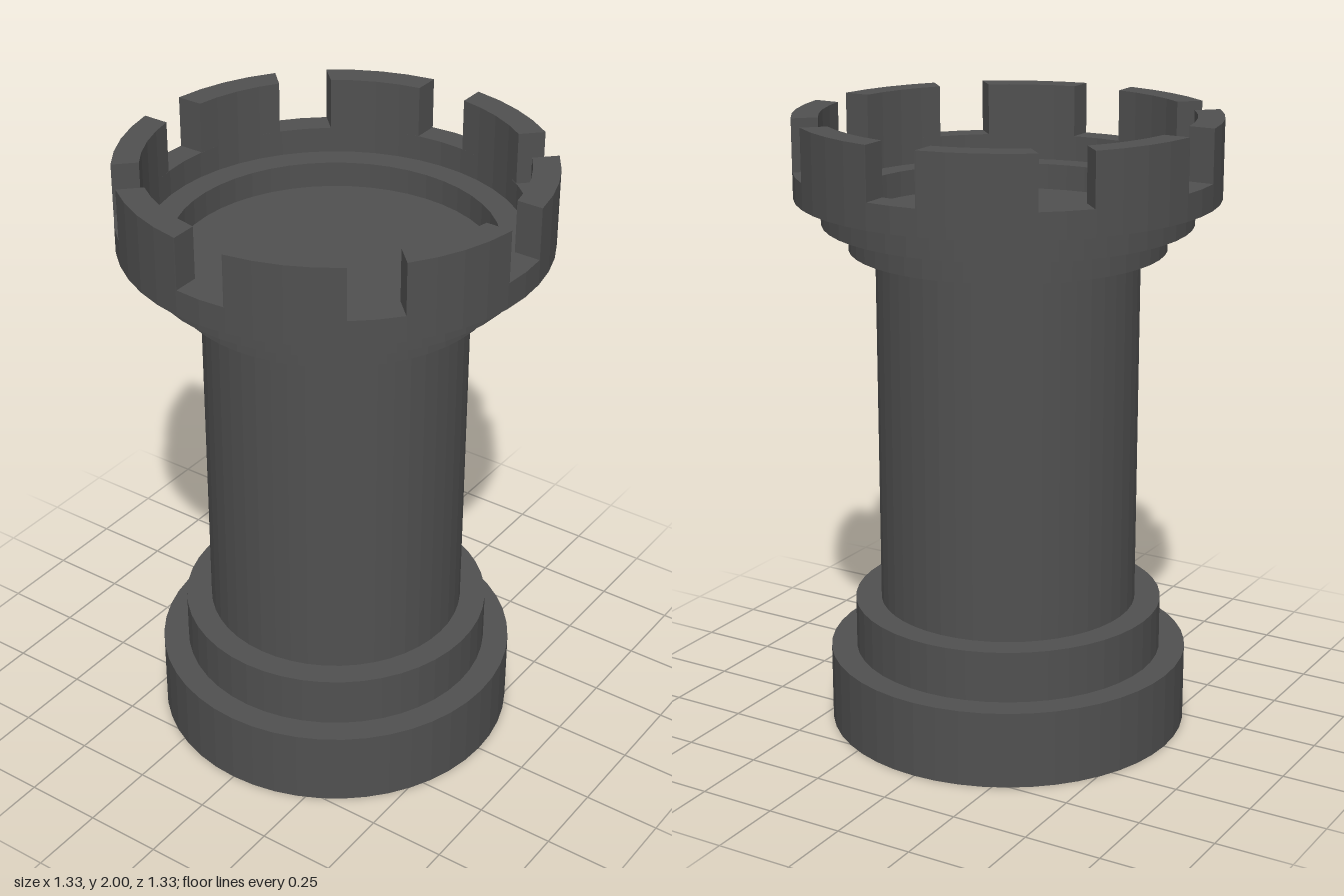
import * as THREE from 'three';

const U = 1 / 12; // all sizes are multiples of this step
const SEGMENTS = 48;
const NOTCHES = 8;

// Angles of one side of a merlon: cut by parallel-sided notches, otherwise on the tower's facets
function arcPoints(radius) {
  const step = (Math.PI * 2) / SEGMENTS;
  const span = (Math.PI * 2) / NOTCHES;
  const edge = Math.asin(U / radius);
  const angles = [edge];
  for (let a = step; a < span - edge; a += step) if (a > edge) angles.push(a);
  angles.push(span - edge);
  return angles.map((a) => new THREE.Vector2(Math.cos(a) * radius, Math.sin(a) * radius));
}

export function createModel() {
  const model = new THREE.Group();
  model.name = 'rook';
  const material = new THREE.MeshStandardMaterial({ color: 0x505050, flatShading: true });

  // Stepped tower: recessed underside, base, shaft, flared collar and sunken floor
  const profile = [
    [0, 1], [4, 1], [4, 0], [7, 0], [7, 3], [6, 3], [6, 5], [5, 5],
    [5, 19], [6, 19], [6, 20], [7, 20], [7, 21], [8, 21], [8, 22],
    [7, 22], [7, 21], [6, 21], [6, 20], [0, 20],
  ].map(([r, y]) => new THREE.Vector2(r * U, y * U));
  const tower = new THREE.Mesh(new THREE.LatheGeometry(profile, SEGMENTS), material);
  tower.name = 'tower';
  model.add(tower);

  // Battlements: curved blocks standing on the rim
  const outline = [...arcPoints(8 * U), ...arcPoints(7 * U).reverse()];
  const merlonGeometry = new THREE.ExtrudeGeometry(new THREE.Shape(outline), {
    depth: 2 * U,
    bevelEnabled: false,
  });
  merlonGeometry.rotateX(-Math.PI / 2);
  const battlements = new THREE.Group();
  battlements.name = 'battlements';
  for (let i = 0; i < NOTCHES; i++) {
    const merlon = new THREE.Mesh(merlonGeometry, material);
    merlon.name = `merlon${i + 1}`;
    merlon.position.y = 22 * U;
    merlon.rotation.y = (i * Math.PI * 2) / NOTCHES;
    battlements.add(merlon);
  }
  model.add(battlements);

  return model;
}
